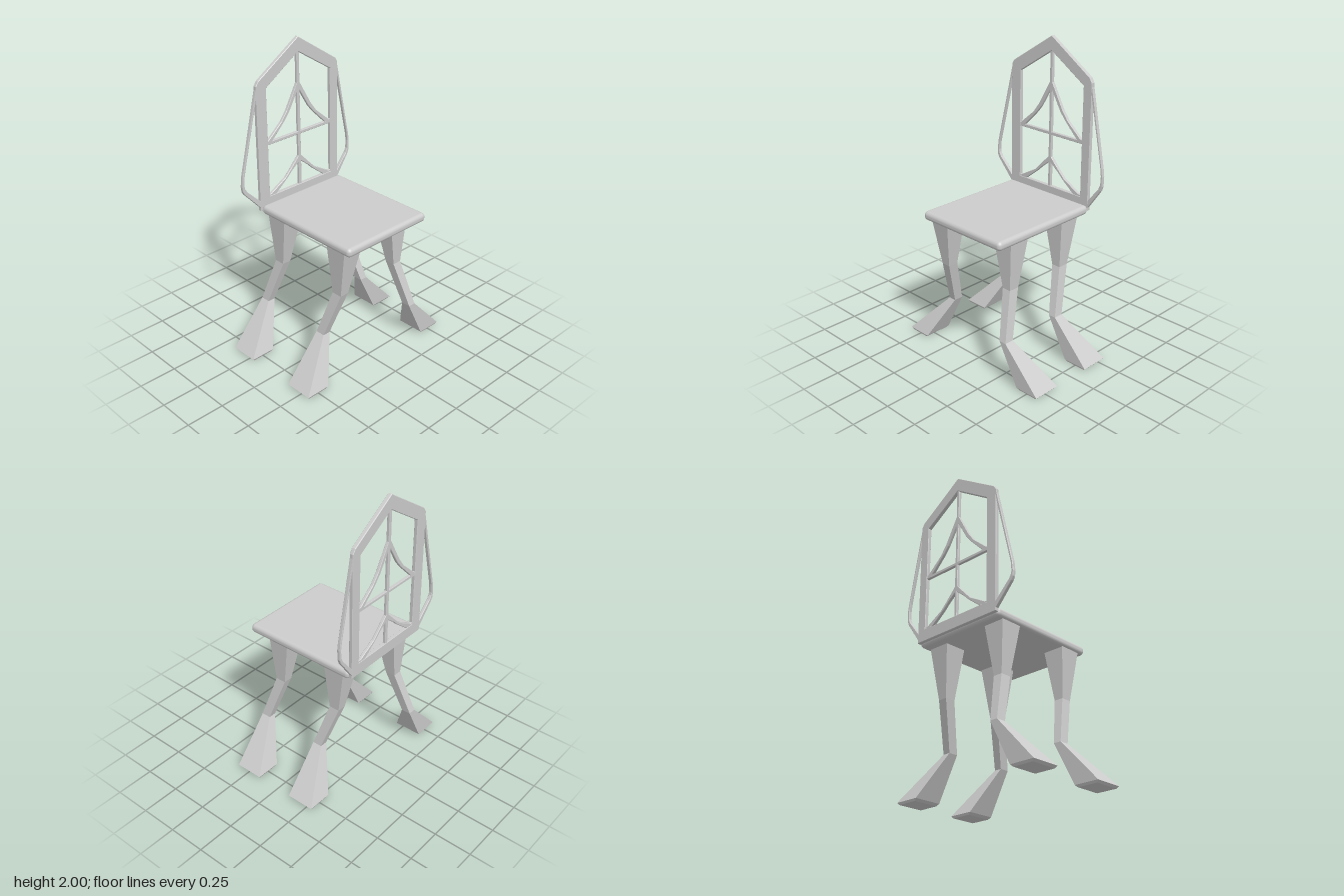
import * as THREE from 'three';
import { RoundedBoxGeometry } from 'three/addons/geometries/RoundedBoxGeometry.js';

const mat = new THREE.MeshStandardMaterial({ color: 0xcccccc });
const flatMat = new THREE.MeshStandardMaterial({ color: 0xcccccc, flatShading: true });
const BACK_X = -0.393; // middle plane of the backrest
const MID_Z = -0.008; // mirror line of the backrest

const vec = (pts) => pts.map(([a, b]) => new THREE.Vector2(a, b));

// Flat plate cut from an outline of [z, y] points, standing in the backrest plane
function plate(name, outline, thickness, hole) {
  const shape = new THREE.Shape(vec(outline));
  if (hole) shape.holes.push(new THREE.Path(vec(hole)));
  const b = 0.003;
  const depth = thickness - 2 * b;
  const geo = new THREE.ExtrudeGeometry(shape, {
    depth, bevelSize: b, bevelOffset: -b, bevelThickness: b, bevelSegments: 1,
  });
  geo.rotateY(-Math.PI / 2);
  geo.translate(BACK_X + depth / 2, 0, 0);
  const mesh = new THREE.Mesh(geo, flatMat);
  mesh.name = name;
  return mesh;
}

// Straight bar between opposite corners
const bar = (name, z0, z1, y0, y1) =>
  plate(name, [[z0, y0], [z1, y0], [z1, y1], [z0, y1]], 0.02);

// Four-sided leg: a box whose rows are fitted to sections [y, x0, x1, z0, z1]
const LEG = [
  [0, 0.147, 0.318, 0.438, 0.575],
  [0.014, 0.138, 0.325, 0.422, 0.588],
  [0.288, 0.13, 0.193, 0.285, 0.336],
  [0.595, 0.222, 0.292, 0.222, 0.283],
  [0.94, 0.2, 0.352, 0.163, 0.312],
];
function legGeometry(pivotX) {
  const n = LEG.length - 1;
  const geo = new THREE.BoxGeometry(1, 1, 1, 1, n, 1);
  const p = geo.attributes.position;
  for (let i = 0; i < p.count; i++) {
    const [y, x0, x1, z0, z1] = LEG[Math.round((p.getY(i) + 0.5) * n)];
    p.setXYZ(i, (p.getX(i) < 0 ? x0 : x1) - pivotX, y, p.getZ(i) < 0 ? z0 : z1);
  }
  geo.computeVertexNormals();
  return geo;
}

export function createModel() {
  const chair = new THREE.Group();
  chair.name = 'chair';

  // Seat
  const seat = new THREE.Mesh(new RoundedBoxGeometry(0.785, 0.06, 0.668, 4, 0.026), mat);
  seat.position.set(0.01, 0.95, -0.01);
  seat.name = 'seat';
  chair.add(seat);

  // Legs: each pair is one leg and its half-turn copy
  const geo = legGeometry(0.236);
  for (const [name, x, farX] of [['front', 0.235, 0.24], ['rear', -0.295, -0.205]]) {
    const near = new THREE.Mesh(geo, flatMat);
    near.position.x = x;
    near.name = name + 'LegA';
    const far = new THREE.Mesh(geo, flatMat);
    far.position.x = farX;
    far.rotation.y = Math.PI;
    far.name = name + 'LegB';
    chair.add(near, far);
  }

  // Backrest frame with a pointed top
  const back = new THREE.Group();
  back.name = 'backrest';
  back.add(plate('backFrame',
    [[-0.335, 0.94], [0.328, 0.94], [0.328, 1.765], [0.308, 1.795], [-0.01, 2], [-0.32, 1.795], [-0.338, 1.765]],
    0.025,
    [[-0.272, 1.02], [-0.272, 1.737], [-0.01, 1.906], [0.25, 1.737], [0.25, 1.02]]));

  // Cross of straight bars
  back.add(bar('centreBar', MID_Z - 0.011, MID_Z + 0.011, 1.01, 1.92));
  back.add(bar('crossBar', -0.28, 0.26, 1.366, 1.387));

  // Curved branches, mirrored about the centre bar
  const upper = [[0.262, 1.375], [0.262, 1.395], [0.245, 1.395], [0.138, 1.488], [0.092, 1.55], [MID_Z, 1.728],
    [MID_Z, 1.672], [0.072, 1.535], [0.11, 1.488], [0.222, 1.375]];
  const lower = [[0.262, 1.01], [0.262, 1.032], [0.238, 1.032], [0.118, 1.1], [0.078, 1.14], [MID_Z, 1.23],
    [MID_Z, 1.185], [0.062, 1.13], [0.1, 1.093], [0.205, 1.01]];
  for (const [name, pts] of [['upperBranch', upper], ['lowerBranch', lower]]) {
    back.add(plate(name + 'A', pts, 0.02));
    back.add(plate(name + 'B', pts.map(([z, y]) => [2 * MID_Z - z, y]), 0.02));
  }

  // Slim side loops, thicker towards the bottom
  back.add(plate('sideLoopA',
    [[0.325, 1.755], [0.457, 1.215], [0.464, 1.15], [0.46, 1.115], [0.448, 1.093], [0.322, 0.955],
      [0.322, 1.003], [0.428, 1.108], [0.444, 1.135], [0.447, 1.155], [0.442, 1.215], [0.32, 1.715]], 0.022));
  back.add(plate('sideLoopB',
    [[-0.332, 1.77], [-0.437, 1.245], [-0.444, 1.195], [-0.442, 1.13], [-0.432, 1.1], [-0.33, 0.955],
      [-0.33, 1.003], [-0.415, 1.11], [-0.427, 1.14], [-0.43, 1.195], [-0.424, 1.245], [-0.33, 1.71]], 0.022));
  chair.add(back);

  return chair;
}
